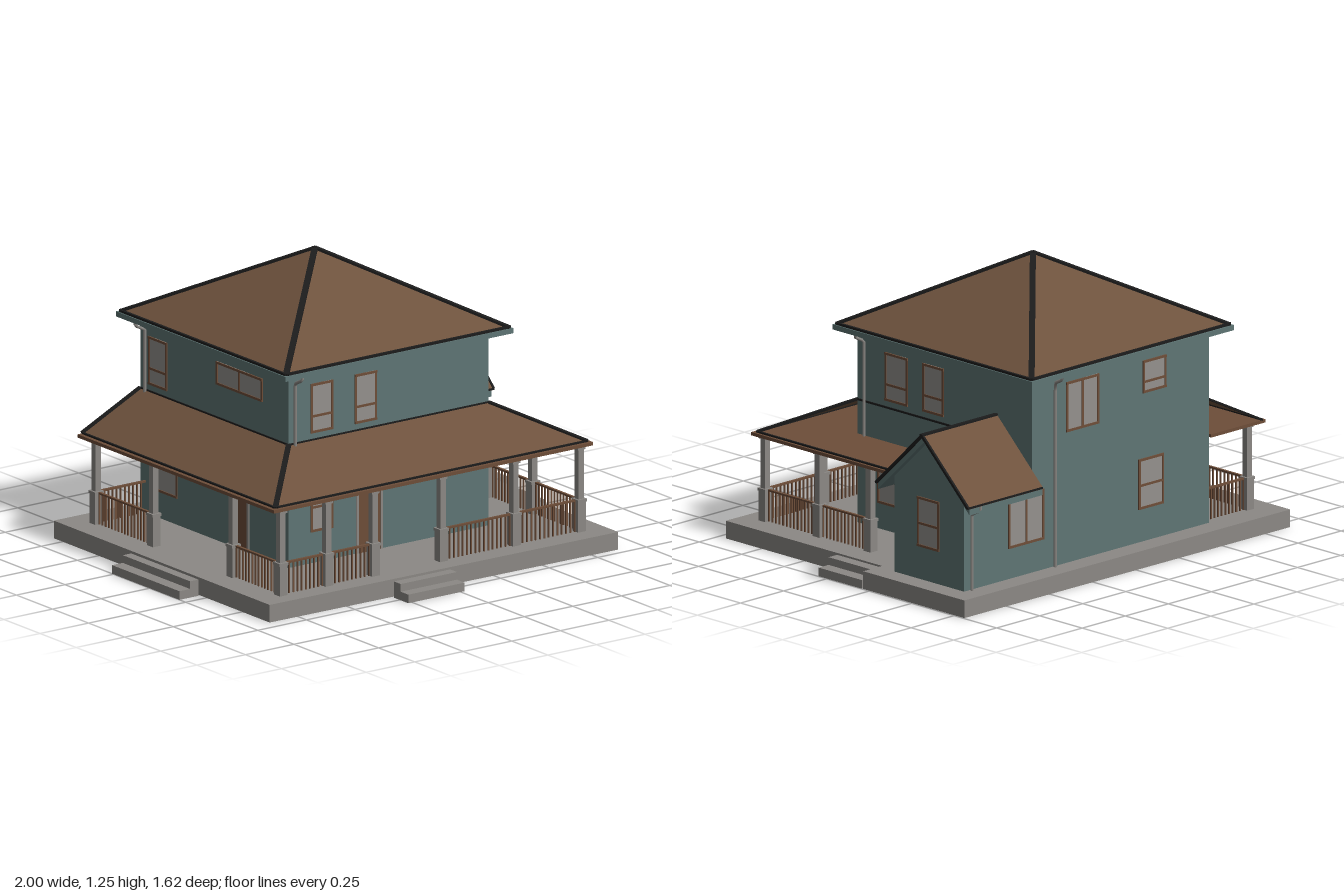
import * as THREE from 'three';

const mat = (name, color, side = THREE.FrontSide) => {
  const m = new THREE.MeshStandardMaterial({ color, side });
  m.name = name;
  return m;
};

export function createModel() {
  const root = new THREE.Group();
  root.name = 'house';
  const teal = mat('teal siding', 0x5f7675);
  const roofBrown = mat('brown roofing', 0x6e523d, THREE.DoubleSide);
  const wood = mat('brown wood', 0x6e4e39);
  const stone = mat('grey stone', 0x8c8985, THREE.DoubleSide);
  const glass = mat('pale grey glass', 0x94918d);
  const black = mat('black trim', 0x1c1c1c);

  const add = (name, geo, m, parent = root) => {
    const mesh = new THREE.Mesh(geo, m);
    mesh.name = name;
    parent.add(mesh);
    return mesh;
  };
  const box = (name, m, x0, x1, y0, y1, z0, z1, parent = root) => {
    const g = new THREE.BoxGeometry(x1 - x0, y1 - y0, z1 - z0);
    g.translate((x0 + x1) / 2, (y0 + y1) / 2, (z0 + z1) / 2);
    return add(name, g, m, parent);
  };
  // square bar between two points
  const beam = (name, m, a, b, w = 0.02, h = 0.014) => {
    const p = new THREE.Vector3(...a), q = new THREE.Vector3(...b);
    const mesh = add(name, new THREE.BoxGeometry(w, h, p.distanceTo(q)), m);
    mesh.position.copy(p).add(q).multiplyScalar(0.5);
    mesh.lookAt(q);
  };
  // flat polygon from its corners
  const face = (name, m, pts) => {
    const g = new THREE.BufferGeometry();
    const v = [];
    for (let i = 1; i < pts.length - 1; i++) v.push(...pts[0], ...pts[i], ...pts[i + 1]);
    g.setAttribute('position', new THREE.Float32BufferAttribute(v, 3));
    g.computeVertexNormals();
    add(name, g, m);
  };
  // outline in (z, y) extruded along x
  const alongX = (name, m, pts, x0, x1) => {
    const s = new THREE.Shape(pts.map(([z, y]) => new THREE.Vector2(-z, y)));
    const g = new THREE.ExtrudeGeometry(s, { depth: x1 - x0, bevelEnabled: false });
    g.rotateY(Math.PI / 2).translate(x0, 0, 0);
    add(name, g, m);
  };

  // Hollow foundation, open below, with a jog on the wing side
  const plan = [[-0.895, 0.69], [0.885, 0.71], [0.885, -0.21], [0.995, -0.21], [0.995, -0.805], [-0.89, -0.812]];
  const top = 0.076;
  const floor = new THREE.Shape(plan.map(([x, z]) => new THREE.Vector2(x, -z)));
  add('foundationFloor', new THREE.ShapeGeometry(floor).rotateX(-Math.PI / 2).translate(0, top, 0), stone);
  plan.forEach(([x, z], i) => {
    const [u, w] = plan[(i + 1) % plan.length];
    face('foundationSide', stone, [[x, 0, z], [u, 0, w], [u, top, w], [x, top, z]]);
  });

  // Entrance steps: two hollow treads each
  const tread = (name, ...size) => {
    const g = box(name, stone, ...size).geometry;
    g.setIndex([...g.index.array].filter((_, i) => i < 18 || i >= 24));
    g.clearGroups();
  };
  tread('frontLowerStep', -0.27, 0.02, 0, 0.037, 0.71, 0.81);
  tread('frontUpperStep', -0.27, 0.02, 0.037, 0.07, 0.71, 0.757);
  tread('rightLowerStep', -1, -0.902, 0, 0.037, -0.26, 0.207);
  tread('rightUpperStep', -0.945, -0.902, 0.037, 0.07, -0.26, 0.207);
  tread('leftLowerStep', 0.89, 0.997, 0, 0.037, -0.205, 0.05);
  tread('leftUpperStep', 0.89, 0.94, 0.037, 0.07, -0.205, 0.05);

  // Main house
  const X0 = -0.517, X1 = 0.512, Z0 = -0.713, Z1 = 0.313;
  box('mainWalls', teal, X0, X1, 0.07, 0.92, Z0, Z1);
  box('soffit', teal, -0.586, 0.588, 0.908, 0.93, -0.79, 0.383);

  // Hipped main roof with black ridges and eaves
  const apex = [0, 1.243, -0.2];
  const eave = [[-0.575, 0.933, 0.372], [0.577, 0.933, 0.372], [0.577, 0.933, -0.777], [-0.575, 0.933, -0.777]];
  eave.forEach((a, i) => {
    const b = eave[(i + 1) % 4];
    face('mainRoofSlope', roofBrown, [a, b, apex]);
    beam('eaveTrim', black, a, b, 0.012, 0.014);
    beam('hipTrim', black, a, apex, 0.025, 0.01);
  });

  // Gabled wing
  const ridge = [-0.505, 0.712], fe = [-0.235, 0.455], be = [-0.775, 0.455];
  alongX('wingWalls', teal, [[-0.305, 0.07], [-0.305, 0.505], [-0.505, 0.695], [Z0, 0.497], [Z0, 0.07]], X1 - 0.01, 0.906);
  for (const e of [fe, be]) {
    const roofSlab = (lo, hi) => [[e[0], e[1] + lo], [ridge[0], ridge[1] + lo], [ridge[0], ridge[1] + hi], [e[0], e[1] + hi]];
    alongX('wingEaveBoard', teal, roofSlab(-0.032, -0.006), X1, 0.935);
    alongX('wingRoof', roofBrown, roofSlab(-0.006, 0.004), X1, 0.945);
    beam('wingRakeTrim', black, [0.944, e[1], e[0]], [0.944, ridge[1], ridge[0]], 0.01, 0.012);
    beam('wingEaveTrim', black, [X1, e[1], e[0]], [0.947, e[1], e[0]], 0.008, 0.008);
  }
  beam('wingRidgeTrim', black, [X1, 0.715, -0.505], [0.95, 0.715, -0.505], 0.018, 0.008);

  // Porch ceiling
  box('porchCeilingFront', wood, -0.832, 0.812, 0.445, 0.459, Z1, 0.635);
  box('porchCeilingRight', wood, -0.832, X0, 0.445, 0.459, -0.725, Z1);
  box('porchCeilingLeft', wood, X1, 0.812, 0.445, 0.459, -0.24, Z1);

  // Porch roof slopes, left side open above its ceiling
  const tr = [X0, 0.608, Z1], tl = [X1, 0.608, Z1];
  const er = [-0.81, 0.462, 0.615], el = [0.797, 0.462, 0.615];
  const trB = [X0, 0.608, Z0], erB = [-0.81, 0.462, -0.722];
  const tlB = [X1, 0.608, -0.395], elB = [0.797, 0.462, -0.24];
  face('porchRoofFront', roofBrown, [er, el, tl, tr]);
  face('porchRoofRight', roofBrown, [erB, er, tr, trB]);
  for (const [a, b] of [[er, tr], [el, tl], [elB, tlB], [erB, trB]]) beam('porchHipTrim', black, a, b, 0.022, 0.009);
  for (const [a, b] of [[tr, tl], [tr, trB], [tl, tlB], [er, el], [er, erB], [el, elB]])
    beam('porchEdgeTrim', black, a, b, 0.01, 0.008);

  // Porch columns: pedestal, shaft and capital
  const column = (x, z) => {
    const c = new THREE.Group();
    c.name = 'porchColumn';
    c.position.set(x, 0, z);
    root.add(c);
    const part = (n, r, y0, y1) => box(n, stone, -r, r, y0, y1, -r, r, c);
    part('pedestal', 0.02, 0.07, 0.205);
    part('pedestalCap', 0.023, 0.205, 0.217);
    part('shaft', 0.014, 0.217, 0.43);
    part('capital', 0.019, 0.43, 0.446);
  };
  const frontX = [-0.77, -0.535, -0.295, 0.055, 0.43, 0.765];
  frontX.forEach((x) => column(x, 0.6));
  [0.28, -0.02].forEach((z) => column(0.765, z));
  [0.27, -0.28, -0.68].forEach((z) => column(-0.77, z));

  // Railings
  const railing = (xa, za, xb, zb) => {
    beam('topRail', wood, [xa, 0.211, za], [xb, 0.211, zb], 0.012, 0.008);
    const n = Math.round(Math.hypot(xb - xa, zb - za) / 0.022);
    for (let i = 1; i < n; i++) {
      const x = xa + (xb - xa) * i / n, z = za + (zb - za) * i / n;
      box('baluster', wood, x - 0.003, x + 0.003, 0.076, 0.21, z - 0.003, z + 0.003);
    }
  };
  [[0, 1], [1, 2], [3, 4], [4, 5]].forEach(([a, b]) => railing(frontX[a], 0.6, frontX[b], 0.6));
  railing(0.765, 0.6, 0.765, 0.28);
  railing(0.765, 0.28, 0.765, -0.02);
  railing(-0.77, 0.6, -0.77, 0.27);
  railing(-0.77, -0.28, -0.77, -0.68);
  railing(-0.77, -0.68, X0, -0.68);

  // Openings: placed on a wall plane, spanning a..b along it
  const walls = {
    front: (u, d) => [u, d, 0], back: (u, d) => [u, d, Math.PI],
    left: (u, d) => [d, u, Math.PI / 2], right: (u, d) => [d, u, -Math.PI / 2],
  };
  const opening = (name, wall, d, a, b, y0, y1) => {
    const g = new THREE.Group();
    const [x, z, turn] = walls[wall]((a + b) / 2, d);
    g.name = name;
    g.position.set(x, 0, z);
    g.rotation.y = turn;
    root.add(g);
    return [g, Math.abs(b - a) / 2, y0, y1];
  };
  const frameBars = ([g, w, y0, y1], m, t) => {
    for (const s of [-1, 1]) box('frameSide', m, s * w - t / 2, s * w + t / 2, y0, y1, -0.002, 0.005, g);
    box('frameTop', m, -w - t / 2, w + t / 2, y1 - t, y1, -0.002, 0.006, g);
  };
  const win = (wall, d, a, b, y0, y1, upright = false) => {
    const o = opening('window', wall, d, a, b, y0, y1), [g, w] = o;
    box('pane', glass, -w, w, y0, y1, -0.002, 0.002, g);
    frameBars(o, wood, 0.01);
    box('sill', wood, -w - 0.005, w + 0.005, y0, y0 + 0.01, -0.002, 0.006, g);
    const mid = y0 + (y1 - y0) * (y0 > 0.6 ? 0.34 : 0.47);
    if (upright) box('mullion', wood, -0.005, 0.005, y0, y1, -0.002, 0.005, g);
    else box('meetingRail', wood, -w, w, mid - 0.005, mid + 0.005, -0.002, 0.005, g);
  };
  const door = (wall, d, a, b) => {
    const o = opening('door', wall, d, a, b, 0.076, 0.435), [g, w] = o;
    box('doorLeaf', wood, -w, w, 0.076, 0.43, -0.002, 0.004, g);
    frameBars(o, stone, 0.012);
  };
  win('front', Z1, -0.4, -0.295, 0.637, 0.85);
  win('front', Z1, -0.173, -0.07, 0.637, 0.85);
  win('front', Z1, -0.4, -0.295, 0.21, 0.435);
  door('front', Z1, -0.165, -0.04);
  win('left', X1, 0.02, 0.145, 0.637, 0.845);
  win('left', X1, -0.192, -0.077, 0.637, 0.845);
  win('left', X1, 0.065, 0.188, 0.187, 0.405);
  door('left', X1, -0.25, -0.13);
  win('left', 0.906, -0.565, -0.445, 0.217, 0.432);
  win('back', Z0, 0.13, 0.31, 0.64, 0.855, true);
  win('back', Z0, -0.26, -0.135, 0.715, 0.855);
  win('back', Z0, -0.245, -0.11, 0.217, 0.434);
  win('back', Z0, 0.45, 0.645, 0.207, 0.425, true);
  win('right', X0, -0.65, -0.53, 0.637, 0.845);
  win('right', X0, -0.18, 0.13, 0.75, 0.85, true);
  win('right', X0, -0.6, -0.46, 0.19, 0.42);
  door('right', X0, -0.09, 0.035);

  // Downspouts: an elbow from the eave to the wall, then straight down
  const spout = (x, z, nx, nz, y1, y0) => {
    const at = (out, y) => new THREE.Vector3(x + nx * out, y, z + nz * out);
    const path = new THREE.CurvePath();
    const pts = [at(0.06, y1), at(0.06, y1 - 0.02), at(0.01, y1 - 0.045), at(0.01, y0)];
    for (let i = 0; i < 3; i++) path.add(new THREE.LineCurve3(pts[i], pts[i + 1]));
    add('downspout', new THREE.TubeGeometry(path, 24, 0.007, 6), stone);
  };
  spout(-0.49, Z1, 0, 1, 0.915, 0.6);
  spout(X1, 0.265, 1, 0, 0.915, 0.46);
  spout(0.386, Z0, 0, -1, 0.915, 0.076);
  spout(X0, -0.67, -1, 0, 0.915, 0.58);
  spout(0.87, Z0, 0, -1, 0.45, 0.076);

  return root;
}
